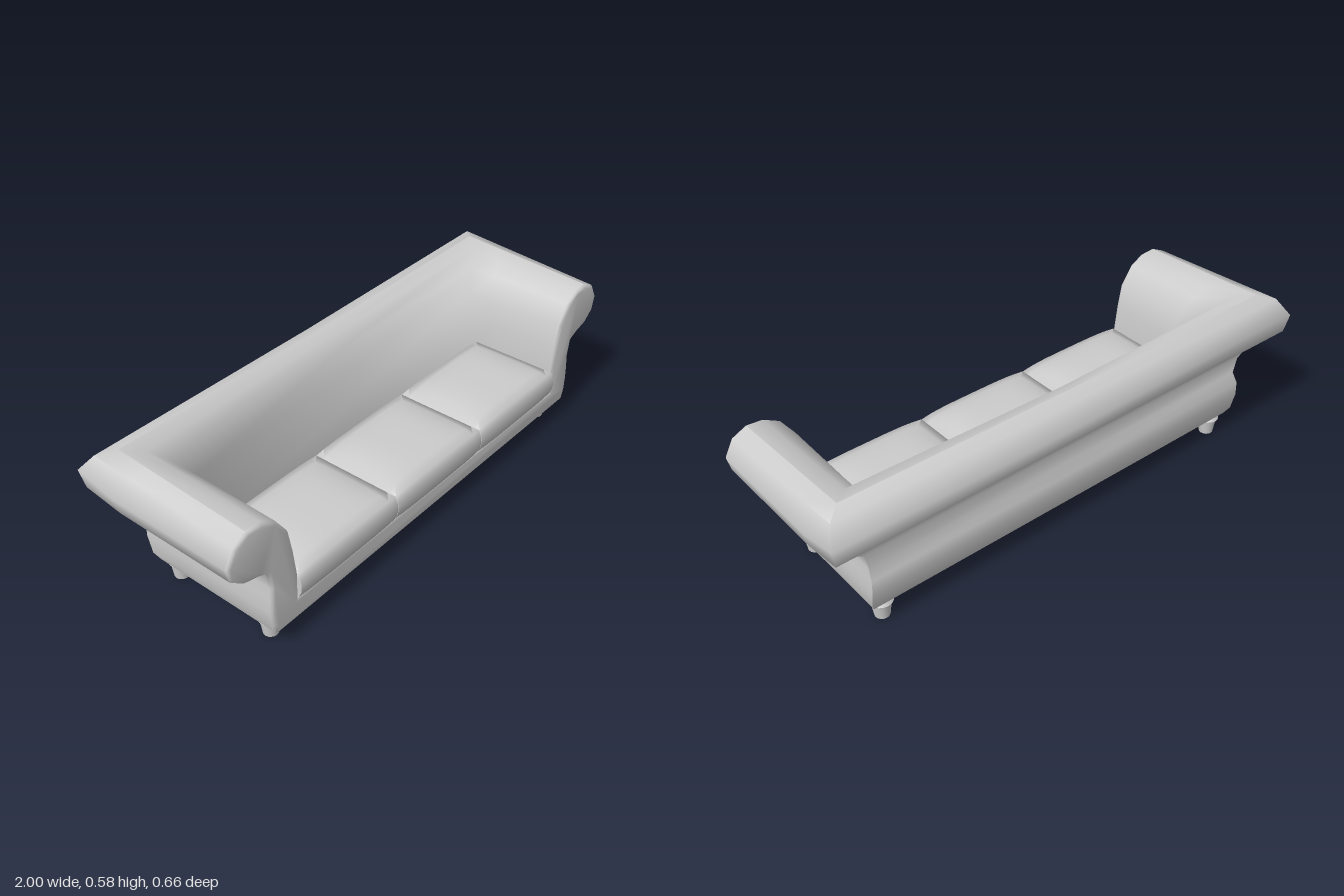
import * as THREE from 'three';
import { mergeVertices, toCreasedNormals } from 'three/addons/utils/BufferGeometryUtils.js';

const material = new THREE.MeshStandardMaterial({ color: 0xcccccc, side: THREE.DoubleSide });

// Matching cross-sections, from the seat up over the roll to the outer bottom edge:
// [arm x, arm y, back z, back y]
const PROFILE = [
  [0.72, 0.16, -0.04, 0.16], [0.717, 0.26, -0.043, 0.25], [0.73, 0.36, -0.065, 0.35],
  [0.747, 0.45, -0.1, 0.44], [0.795, 0.52, -0.137, 0.525], [0.85, 0.551, -0.175, 0.57],
  [0.91, 0.556, -0.23, 0.585], [0.965, 0.53, -0.28, 0.57], [0.998, 0.47, -0.33, 0.51],
  [0.985, 0.415, -0.318, 0.44], [0.94, 0.378, -0.28, 0.404], [0.88, 0.362, -0.235, 0.362],
  [0.842, 0.345, -0.233, 0.335], [0.83, 0.275, -0.23, 0.275], [0.836, 0.235, -0.25, 0.235],
  [0.838, 0.175, -0.25, 0.18], [0.835, 0.12, -0.235, 0.11], [0.82, 0.08, -0.217, 0.08],
];
const CREST = 6;

function add(group, name, geometry, x = 0, y = 0, z = 0) {
  const mesh = new THREE.Mesh(geometry, material);
  mesh.name = name;
  mesh.position.set(x, y, z);
  group.add(mesh);
}

// Part of the hollow U-shaped shell: profile points first..last swept arm, back, arm
function shellGeometry(first, last, crease) {
  const section = (rule) => PROFILE.map(rule).slice(first, last + 1);
  const front = (side) => section(([x, y]) => [side * x, y, 0.3]);
  // The arm keeps its section for most of its length, then turns into the back
  const nearCorner = (side) => section(([x, y, z, backY], i) => [
    side * x, THREE.MathUtils.lerp(y, backY, i < 8 ? 0.75 : 0.1), THREE.MathUtils.lerp(0.3, z, 0.75)]);
  const corner = (side) => section(([x, , z, y], i) => [side * (i < 3 ? x + 0.012 : x), y, z]);
  const middle = section(([, , z, y], i) => [0, y > 0.5 ? y - 0.008 : y, i > 1 && i < CREST ? z - 0.01 : z]);
  const stations = [front(1), nearCorner(1), corner(1), middle, corner(-1), nearCorner(-1), front(-1)];
  const n = last - first + 1;
  const index = [];
  for (let s = 0; s < stations.length - 1; s++) {
    for (let i = 0; i < n - 1; i++) {
      const a = s * n + i, b = a + n;
      index.push(a, a + 1, b, a + 1, b + 1, b);
    }
  }
  const geo = new THREE.BufferGeometry();
  geo.setAttribute('position', new THREE.Float32BufferAttribute(stations.flat(2), 3));
  geo.setIndex(index);
  return toCreasedNormals(geo, crease);
}

// Arm fronts and seat rail as one bevelled panel
function frontGeometry() {
  const half = PROFILE.map(([x, y]) => new THREE.Vector2(x, y));
  const mirrored = half.map((p) => new THREE.Vector2(-p.x, p.y)).reverse();
  const geo = new THREE.ExtrudeGeometry(new THREE.Shape([...half, ...mirrored]), {
    depth: 0.004, bevelThickness: 0.01, bevelSize: 0.012, bevelOffset: -0.012, bevelSegments: 2,
  });
  geo.deleteAttribute('uv');
  geo.deleteAttribute('normal');
  return toCreasedNormals(mergeVertices(geo), 1.1);
}

// Plump seat cushion: domed top and bulging front
function cushionGeometry(width) {
  const depth = 0.35, height = 0.095;
  const geo = new THREE.BoxGeometry(width, height, depth, 12, 4, 10);
  const pos = geo.attributes.position;
  for (let i = 0; i < pos.count; i++) {
    const u = Math.abs(pos.getX(i)) / (width / 2);
    const t = pos.getY(i) / height + 0.5;
    const v = pos.getZ(i) / (depth / 2);
    const dome = (1 - u ** 3.5) * (1 - Math.abs(v) ** 3.5);
    pos.setY(i, pos.getY(i) + t * (0.024 * dome + 0.008 * (1 - u ** 4)));
    if (v > 0) pos.setZ(i, pos.getZ(i) + v * v * (0.013 * 4 * t * (1 - t) + 0.004 * (1 - u ** 4)));
  }
  geo.deleteAttribute('uv');
  geo.deleteAttribute('normal');
  return toCreasedNormals(mergeVertices(geo), 1.45);
}

export function createModel() {
  const sofa = new THREE.Group();
  sofa.name = 'sofa';

  // Upholstered shell: soft inner corners, crisp outer mitres
  add(sofa, 'innerArmsAndBack', shellGeometry(0, CREST, 2));
  add(sofa, 'outerArmsAndBack', shellGeometry(CREST, PROFILE.length - 1, 1.1));
  add(sofa, 'armFrontsAndRail', frontGeometry(), 0, 0, 0.298);

  // Three seat cushions
  ['rightCushion', 'middleCushion', 'leftCushion'].forEach((name, i) => {
    add(sofa, name, cushionGeometry(0.477), (i - 1) * 0.479, 0.2085, 0.136);
  });

  // Tapered legs with a collar
  const legProfile = [[0, 0], [0.027, 0], [0.036, 0.065], [0.043, 0.066], [0.033, 0.079], [0, 0.079]]
    .map(([r, y]) => new THREE.Vector2(r, y));
  const legGeo = toCreasedNormals(new THREE.LatheGeometry(legProfile, 16), 0.6);
  for (const x of [0.77, -0.77]) {
    for (const z of [0.23, -0.18]) {
      add(sofa, `${z > 0 ? 'front' : 'back'}${x > 0 ? 'Left' : 'Right'}Leg`, legGeo, x, 0, z);
    }
  }
  return sofa;
}
